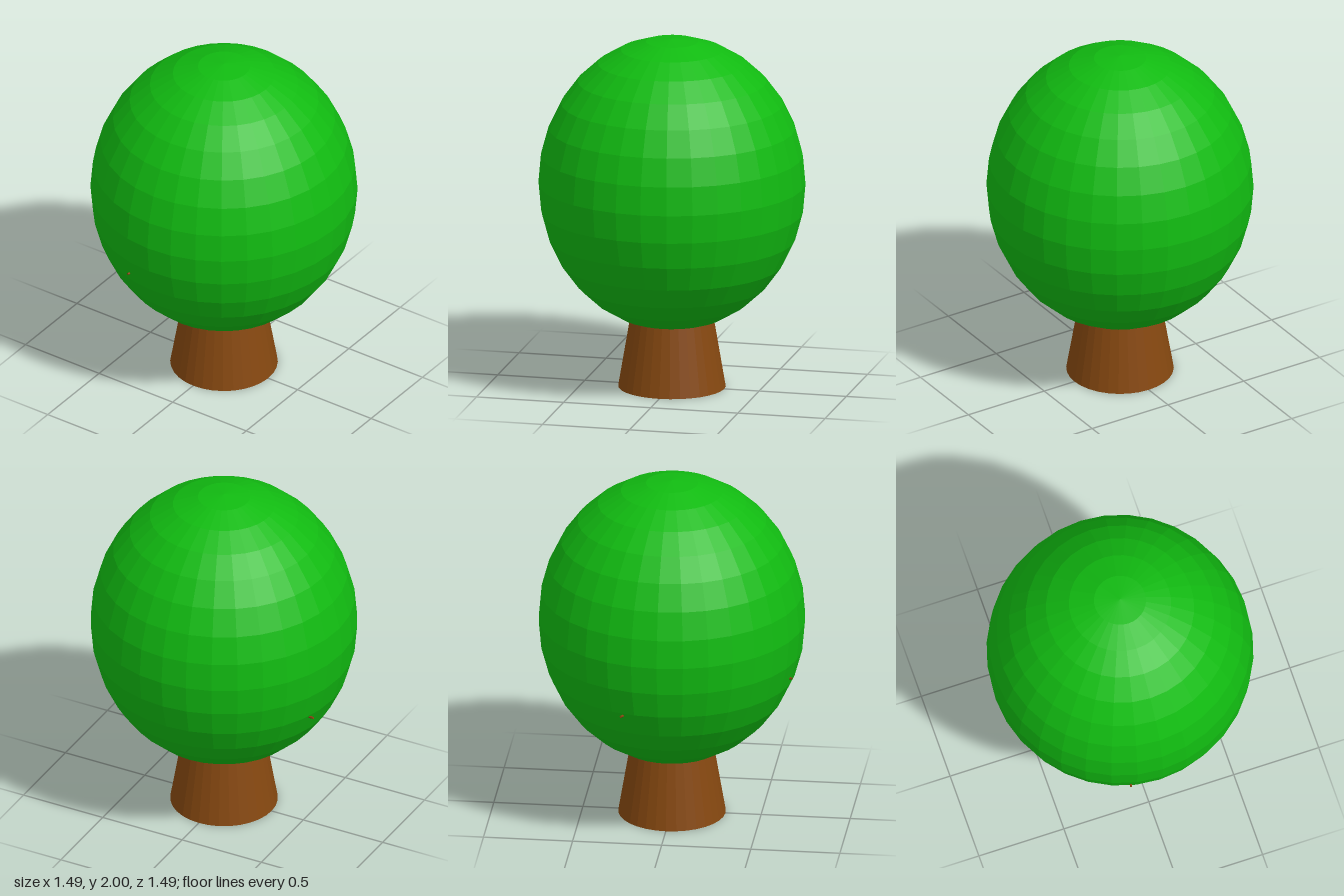
import * as THREE from 'three';

const material = (color) => new THREE.MeshStandardMaterial({ color, flatShading: true });

export function createModel() {
  const tree = new THREE.Group();
  tree.name = 'tree';
  const leaf = material(0x11bb11);
  const bark = material(0x864810);

  const add = (name, geometry, mat) => {
    const mesh = new THREE.Mesh(geometry, mat);
    mesh.name = name;
    tree.add(mesh);
    return mesh;
  };

  // Egg-shaped crown, a sphere stretched upwards
  const crown = new THREE.SphereGeometry(0.745, 32, 16);
  crown.scale(1, 0.83 / 0.745, 1);
  crown.translate(0, 1.17, 0);
  add('crown', crown, leaf);

  // Tapered trunk, running up inside the crown
  const trunkHeight = 1;
  const trunk = new THREE.CylinderGeometry(0.13, 0.3, trunkHeight, 32);
  trunk.translate(0, trunkHeight / 2, 0);
  add('trunk', trunk, bark);

  // Thin branches whose tips just break through the crown
  const up = new THREE.Vector3(0, 1, 0);
  const branch = (name, start, tip) => {
    const direction = tip.clone().sub(start);
    const mesh = add(name, new THREE.CylinderGeometry(0.006, 0.04, direction.length(), 8), bark);
    mesh.position.copy(start).add(tip).multiplyScalar(0.5);
    mesh.quaternion.setFromUnitVectors(up, direction.normalize());
  };
  branch('frontBranch', new THREE.Vector3(0, 0.8, 0), new THREE.Vector3(-0.17, 0.905, 0.695));
  branch('sideBranch', new THREE.Vector3(0, 0.74, 0), new THREE.Vector3(-0.675, 0.84, -0.21));

  return tree;
}
